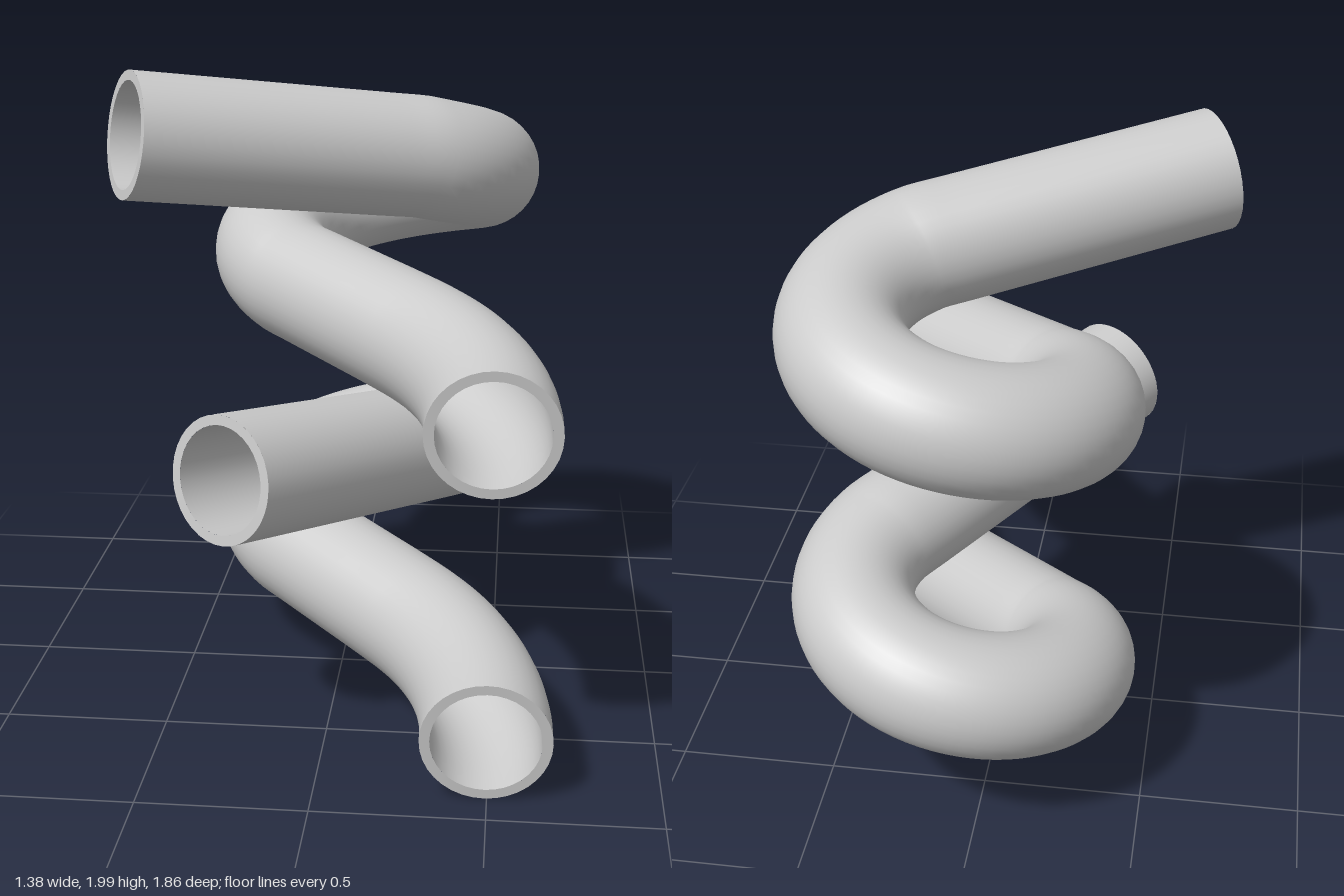
import * as THREE from 'three';

const OUTER = 0.19, INNER = 0.16;      // pipe radii
const CX = 0.075, CZ = -0.395, LOOP = 0.345; // plan of the loop
const BEND = 0.942, RUN = 0.55;        // exit bend radius, straight before it
const RISE = 0.13;                     // slope of the straight runs, and rise per quarter loop
const rad = THREE.MathUtils.degToRad;

// Centreline: exit bend, straight, spiral loop, straight entry
function slidePath(exitY, leaveDeg, entryLength) {
  const pts = [];
  const bendLength = BEND * Math.PI / 4;
  const ex = 0.495 - BEND, ez = 0.905;
  for (let i = 0; i <= 12; i++) {
    const a = rad(45 * i / 12);
    pts.push(new THREE.Vector3(ex + BEND * Math.cos(a), exitY + RISE * BEND * a, ez - BEND * Math.sin(a)));
  }
  const h = Math.SQRT1_2;
  const sx = CX - LOOP * h, sz = CZ + LOOP * h;
  const loopY = exitY + RISE * (bendLength + RUN);
  for (let i = 1; i < 6; i++) {
    const d = RUN * (1 - i / 6);
    pts.push(new THREE.Vector3(sx + d * h, loopY - RISE * d, sz + d * h));
  }
  const sweep = 225 + leaveDeg, n = 44;
  for (let i = 0; i <= n; i++) {
    const t = sweep * i / n, a = rad(135 + t);
    pts.push(new THREE.Vector3(CX + LOOP * Math.cos(a), loopY + RISE * t / 90, CZ + LOOP * Math.sin(a)));
  }
  const last = pts[pts.length - 1], a = rad(leaveDeg);
  for (let i = 1; i <= 10; i++) {
    const d = entryLength * i / 10;
    pts.push(new THREE.Vector3(last.x - d * Math.sin(a), last.y + RISE * d, last.z + d * Math.cos(a)));
  }
  const curve = new THREE.CatmullRomCurve3(pts);
  curve.arcLengthDivisions = 800;
  return curve;
}

// Hollow pipe: outer wall, inner wall and a flat rim at each end
function pipe(name, curve) {
  const group = new THREE.Group();
  group.name = name;
  const add = (part, geometry, side) => {
    const mesh = new THREE.Mesh(geometry, new THREE.MeshStandardMaterial({ color: 0xcccccc, side }));
    mesh.name = part;
    group.add(mesh);
    return mesh;
  };
  add('outerWall', new THREE.TubeGeometry(curve, 140, OUTER, 36), THREE.FrontSide);
  add('innerWall', new THREE.TubeGeometry(curve, 140, INNER, 36), THREE.BackSide);
  for (const [part, t, sign] of [['exitRim', 0, -1], ['entryRim', 1, 1]]) {
    const rim = add(part, new THREE.RingGeometry(INNER, OUTER, 36), THREE.DoubleSide);
    const p = curve.getPointAt(t);
    rim.position.copy(p);
    rim.lookAt(p.clone().addScaledVector(curve.getTangentAt(t), sign));
  }
  return group;
}

export function createModel() {
  const model = new THREE.Group();
  model.name = 'spiralTubes';
  model.add(pipe('lowerTube', slidePath(0.197, 35.2, 1.11)));
  model.add(pipe('upperTube', slidePath(1.107, 62.4, 0.945)));
  return model;
}
